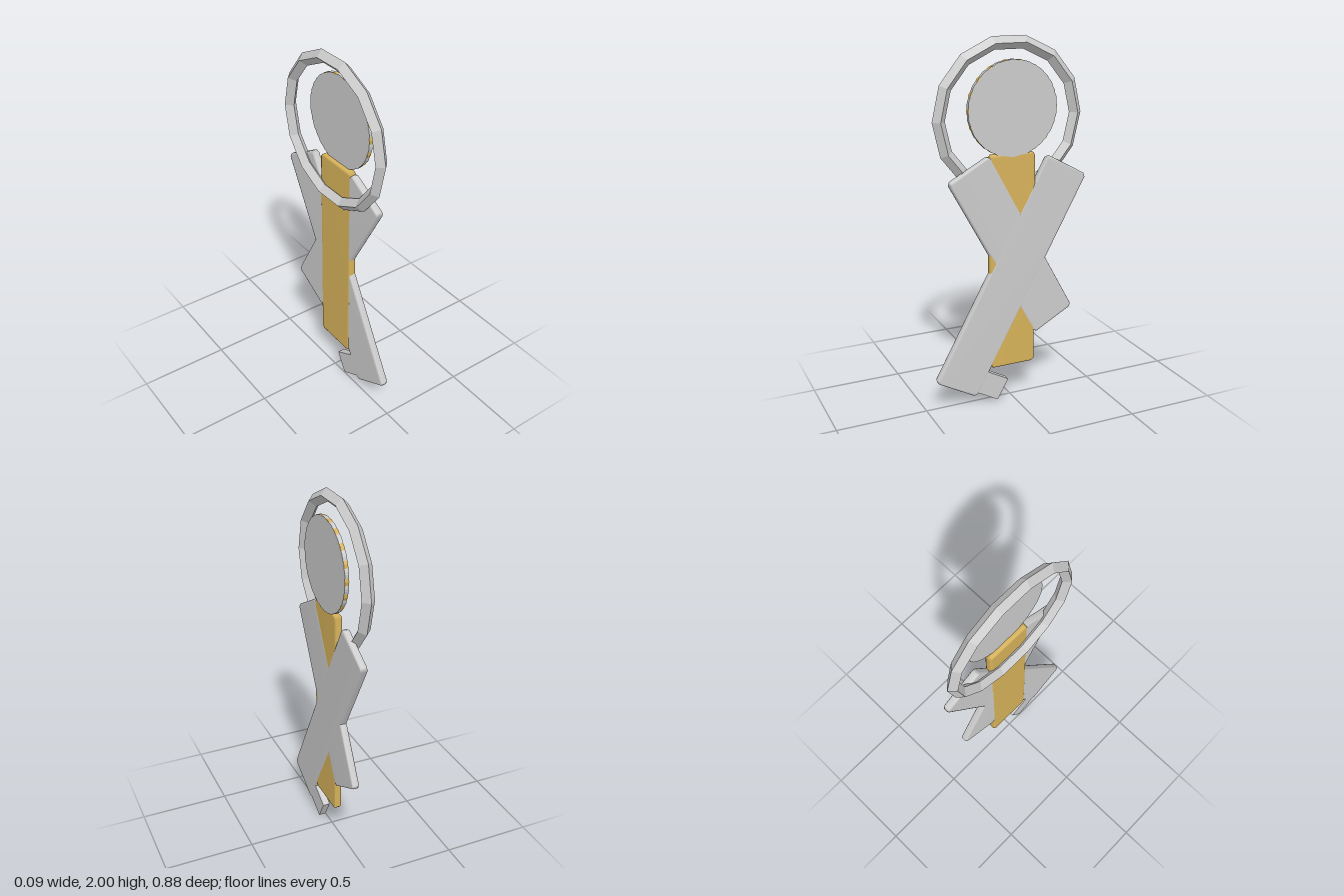
import * as THREE from 'three';
import { mergeVertices } from 'three/addons/utils/BufferGeometryUtils.js';

const grey = new THREE.MeshStandardMaterial({ color: 0xcccccc });
const greyFlat = new THREE.MeshStandardMaterial({ color: 0xcccccc, flatShading: true });
const gold = new THREE.MeshStandardMaterial({ color: 0xd6b25a });
const goldFlat = new THREE.MeshStandardMaterial({ color: 0xd6b25a, flatShading: true });

// Flat bar with clipped corners and softly shaded bevels, lying in the zy plane
function barGeometry(width, length, thick) {
  const b = 0.01, c = 0.01, w = width / 2 - b, h = length / 2 - b;
  const shape = new THREE.Shape([
    [w, -h + c], [w, h - c], [w - c, h], [-w + c, h],
    [-w, h - c], [-w, -h + c], [-w + c, -h], [w - c, -h],
  ].map(([x, y]) => new THREE.Vector2(x, y)));
  let geo = new THREE.ExtrudeGeometry(shape, {
    depth: thick - 2 * b, bevelEnabled: true, bevelSize: b, bevelThickness: b, bevelSegments: 2,
  });
  geo.translate(0, 0, b - thick / 2);
  geo.rotateY(Math.PI / 2);
  geo.deleteAttribute('uv');
  geo.deleteAttribute('normal');
  geo = mergeVertices(geo, 1e-4);
  geo.computeVertexNormals();
  return geo;
}

export function createModel() {
  const model = new THREE.Group();
  const add = (name, geo, mat, x, y, z, tilt = 0) => {
    const mesh = new THREE.Mesh(geo, mat);
    mesh.name = name;
    mesh.position.set(x, y, z);
    mesh.rotation.x = tilt;
    model.add(mesh);
  };

  // Split ring with a diamond section
  const ring = new THREE.TorusGeometry(0.39, 0.035, 4, 14);
  ring.rotateY(Math.PI / 2);
  add('keyRing', ring, greyFlat, -0.0125, 1.585, 0);

  // Three keys fanned out: blade, tooth and round head
  const tilt = 0.502;
  const keys = [
    { name: 'middleKey', mats: [gold, goldFlat], x: 0.020, tilt: 0, length: 1.2, y: 0.8, z: 0, tooth: [0.29, 0.12], head: 0.0222 },
    { name: 'shortKey', mats: [grey, greyFlat], x: 0.021, tilt, length: 1.03, y: 0.8825, z: -0.0025, tooth: [0.49, 0.09], head: 0.0228 },
    { name: 'longKey', mats: [grey, greyFlat], x: 0.022, tilt: -tilt, length: 1.37, y: 0.71, z: 0.005, tooth: [0.095, 0.122], head: 0.0232 },
  ];
  for (const k of keys) {
    add(k.name + 'Blade', barGeometry(0.265, k.length, 0.042), k.mats[0], k.x, k.y, k.z, k.tilt);
    add(k.name + 'Tooth', new THREE.BoxGeometry(0.04, 0.13, 0.14), k.mats[1], 0.0215, k.tooth[0], k.tooth[1], k.tilt);
    const head = new THREE.CylinderGeometry(0.252, 0.252, k.head, 18);
    head.rotateZ(Math.PI / 2);
    add(k.name + 'Head', head, k.mats[1], 0.0335, 1.635, 0, k.tilt);
  }
  return model;
}
